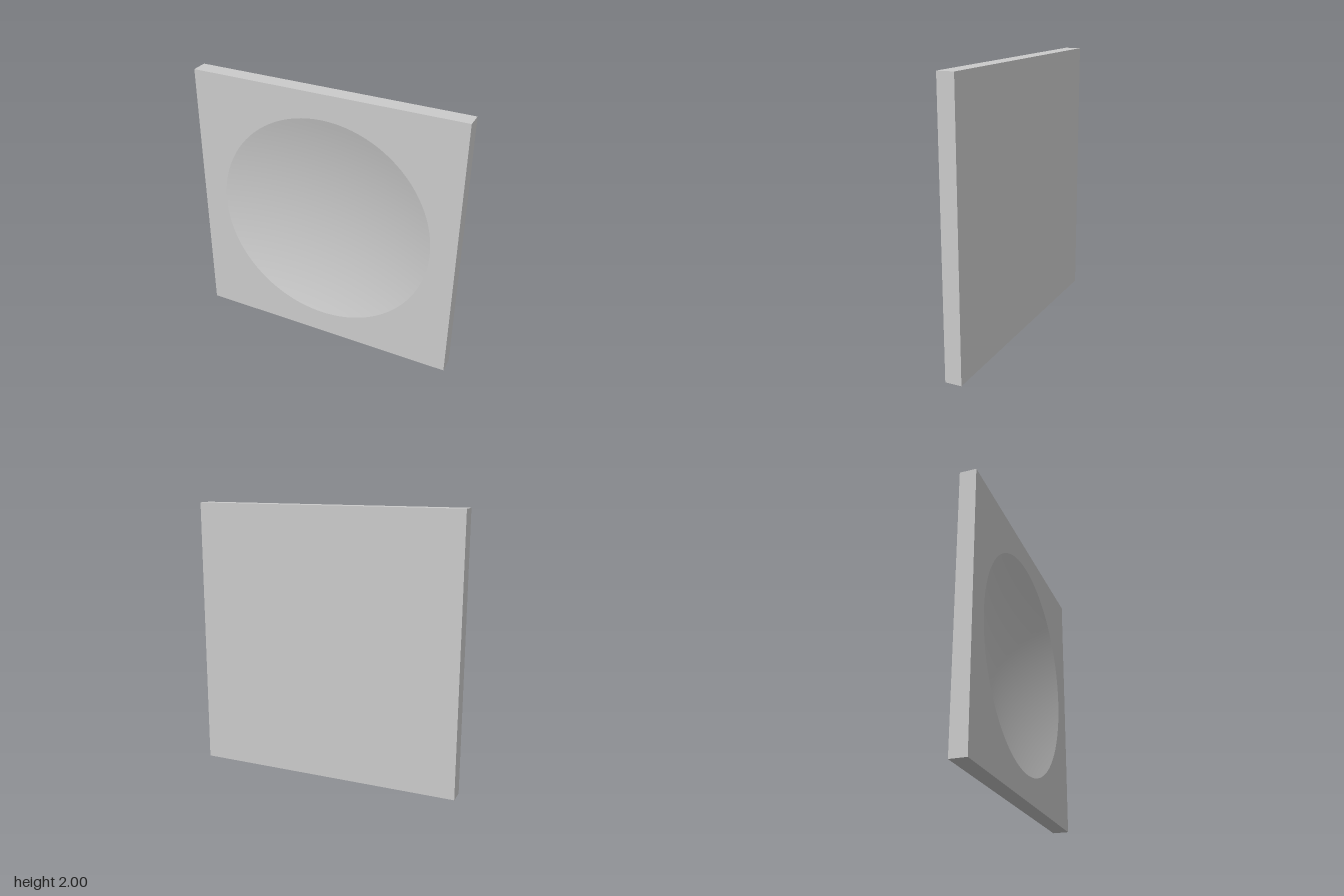
import * as THREE from 'three';

const SIZE = 2, THICK = 0.12, RADIUS = 0.815, DEPTH = 0.1, SEGMENTS = 96;

export function createModel() {
  const group = new THREE.Group();
  group.name = 'dishedPlate';
  const material = new THREE.MeshStandardMaterial({ color: 0xcccccc });
  const add = (name, geometry, z) => {
    const mesh = new THREE.Mesh(geometry, material);
    mesh.name = name;
    mesh.position.set(0, SIZE / 2, z);
    group.add(mesh);
  };

  // Back and four edges: a box with its front face (indices 24 to 29) left out
  const body = new THREE.BoxGeometry(SIZE, SIZE, THICK);
  body.setIndex([...body.index.array].filter((_, i) => i < 24 || i >= 30));
  body.clearGroups();
  add('plateBody', body, 0);

  // Front face with a round opening
  const h = SIZE / 2;
  const face = new THREE.Shape([
    new THREE.Vector2(-h, -h), new THREE.Vector2(h, -h),
    new THREE.Vector2(h, h), new THREE.Vector2(-h, h),
  ]);
  face.holes.push(new THREE.Path().absarc(0, 0, RADIUS, 0, Math.PI * 2, true));
  add('frontFace', new THREE.ShapeGeometry(face, SEGMENTS / 2), THICK / 2);

  // Shallow spherical hollow, profile running from the rim to the centre
  const sphere = (RADIUS ** 2 + DEPTH ** 2) / (2 * DEPTH);
  const rimAngle = Math.asin(RADIUS / sphere);
  const profile = [];
  for (let i = 0; i <= 24; i++) {
    const a = rimAngle * (1 - i / 24);
    profile.push(new THREE.Vector2(sphere * Math.sin(a), sphere * (1 - Math.cos(a)) - DEPTH));
  }
  const dish = new THREE.LatheGeometry(profile, SEGMENTS).rotateX(Math.PI / 2);
  add('dish', dish, THICK / 2);

  return group;
}
